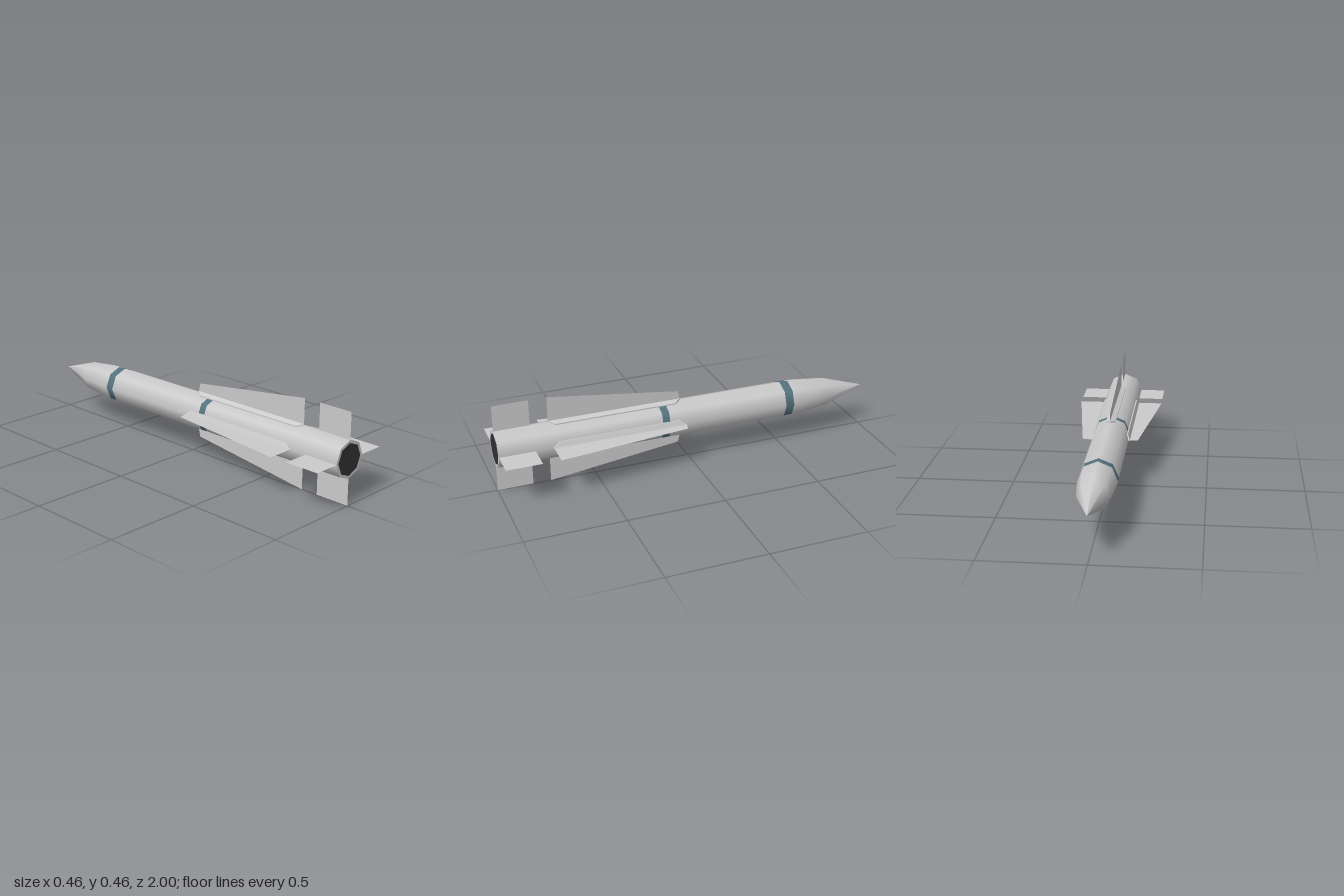
import * as THREE from 'three';

const R = 0.095;        // body radius
const AXIS_Y = 0.229;   // height of the long axis

const grey = new THREE.MeshStandardMaterial({ color: 0xcccccc });
const greyThin = new THREE.MeshStandardMaterial({ color: 0xcccccc, side: THREE.DoubleSide });
const blue = new THREE.MeshStandardMaterial({ color: 0x557480 });
const dark = new THREE.MeshStandardMaterial({ color: 0x333333 });

function part(name, geometry, material, parent) {
  const mesh = new THREE.Mesh(geometry, material);
  mesh.name = name;
  parent.add(mesh);
  return mesh;
}

// Eight-sided smooth hull section along z, from [radius, z] pairs
function hull(points) {
  return new THREE.LatheGeometry(points.map(([r, z]) => new THREE.Vector2(r, z)), 8).rotateX(Math.PI / 2);
}

// Thin plate in the x = 0 plane, from [z, radius] pairs
function plate(points) {
  const shape = new THREE.Shape(points.map(([z, r]) => new THREE.Vector2(z, r)));
  return new THREE.ShapeGeometry(shape).rotateY(-Math.PI / 2);
}

// Half of a fin rail: pointed at both ends, its top sloping with the hull facet
function railHalf(side) {
  const w = 0.025 * side;
  const outline = [[0, 0.04], [w, 0.075], [w, 0.7], [0, 0.73]];
  const shape = new THREE.Shape(outline.map(([x, z]) => new THREE.Vector2(x, z)));
  const geometry = new THREE.ExtrudeGeometry(shape, { depth: 0.02, bevelEnabled: false });
  geometry.rotateX(Math.PI / 2).translate(0, 0.101, 0);
  const pos = geometry.attributes.position;
  for (let i = 0; i < pos.count; i++) {
    pos.setY(i, pos.getY(i) - Math.abs(pos.getX(i)) * Math.tan(Math.PI / 8));
  }
  geometry.computeVertexNormals();
  return geometry;
}

export function createModel() {
  const model = new THREE.Group();
  model.name = 'missile';
  const body = new THREE.Group();
  body.name = 'body';
  body.position.y = AXIS_Y;
  model.add(body);

  // Hull sections and painted bands
  part('noseCone', hull([[0, -1], [0.076, -0.77], [R, -0.6], [R, -0.56]]), grey, body);
  part('noseBand', hull([[R, -0.56], [R, -0.515]]), blue, body);
  part('midBody', hull([[R, -0.515], [R, 0.125]]), grey, body);
  part('finBand', hull([[R, 0.125], [R, 0.163]]), blue, body);
  part('rearBody', hull([[R, 0.163], [R, 1]]), grey, body);

  // Exhaust end
  part('exhaustRim', new THREE.RingGeometry(0.08, R, 8), grey, body).position.z = 1;
  part('exhaust', new THREE.CircleGeometry(0.08, 8), dark, body).position.z = 1;

  // Four sets of rail, long fin and tail fin
  for (let i = 0; i < 4; i++) {
    const set = new THREE.Group();
    set.name = 'finSet' + (i + 1);
    set.rotation.z = i * Math.PI / 2;
    body.add(set);
    part('railLeft', railHalf(1), grey, set);
    part('railRight', railHalf(-1), grey, set);
    part('longFin', plate([[0.04, 0.09], [0.73, 0.09], [0.73, 0.229], [0.053, 0.143]]), greyThin, set);
    part('tailFin', plate([[0.82, 0.09], [1, 0.09], [1, 0.229], [0.82, 0.229]]), greyThin, set);
  }
  return model;
}
